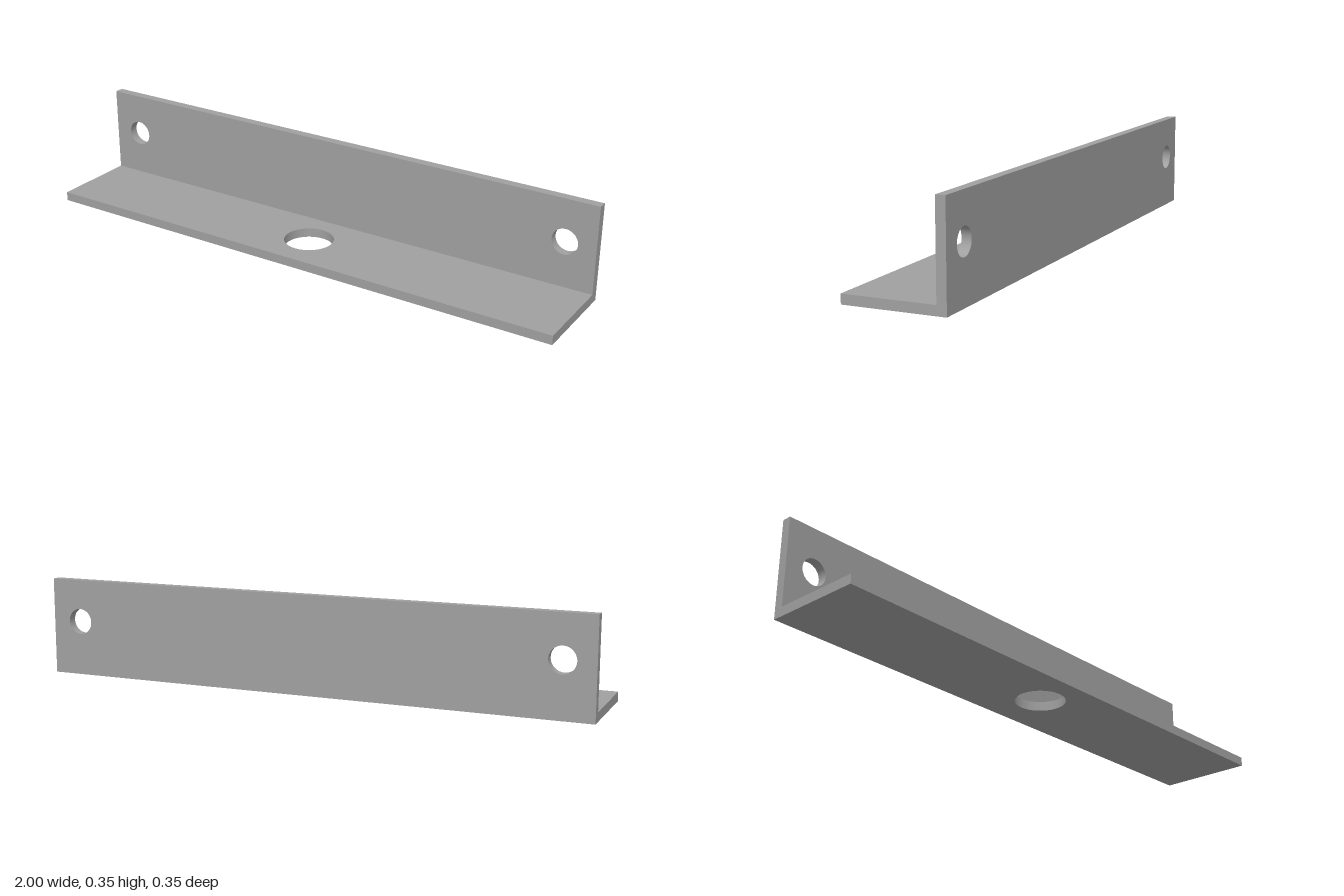
import * as THREE from 'three';

const LENGTH = 2, SIZE = 0.348, THICK = 0.033;

// Flat plate in XY with round holes [x, y, radius], extruded along +z
function plate(y0, y1, holes) {
  const h = LENGTH / 2;
  const shape = new THREE.Shape([
    new THREE.Vector2(-h, y0), new THREE.Vector2(h, y0),
    new THREE.Vector2(h, y1), new THREE.Vector2(-h, y1),
  ]);
  for (const [x, y, r] of holes) {
    shape.holes.push(new THREE.Path().absarc(x, y, r, 0, Math.PI * 2, true));
  }
  return new THREE.ExtrudeGeometry(shape, { depth: THICK, bevelEnabled: false, curveSegments: 48 });
}

export function createModel() {
  const group = new THREE.Group();
  group.name = 'angleBracket';
  const steel = new THREE.MeshStandardMaterial({ color: 0xa0a0a0 });
  steel.name = 'steelGrey';

  // Upright flange at the back with a bolt hole near each end
  const upright = new THREE.Mesh(plate(0, SIZE, [-0.89, 0.89].map((x) => [x, 0.196, 0.046])), steel);
  upright.name = 'uprightFlange';
  upright.position.z = -SIZE / 2;

  // Base flange with a large centre hole, laid flat (shape y becomes -z)
  const base = new THREE.Mesh(plate(-SIZE / 2, SIZE / 2 - THICK, [[0, -0.013, 0.088]]).rotateX(-Math.PI / 2), steel);
  base.name = 'baseFlange';

  group.add(upright, base);
  return group;
}
